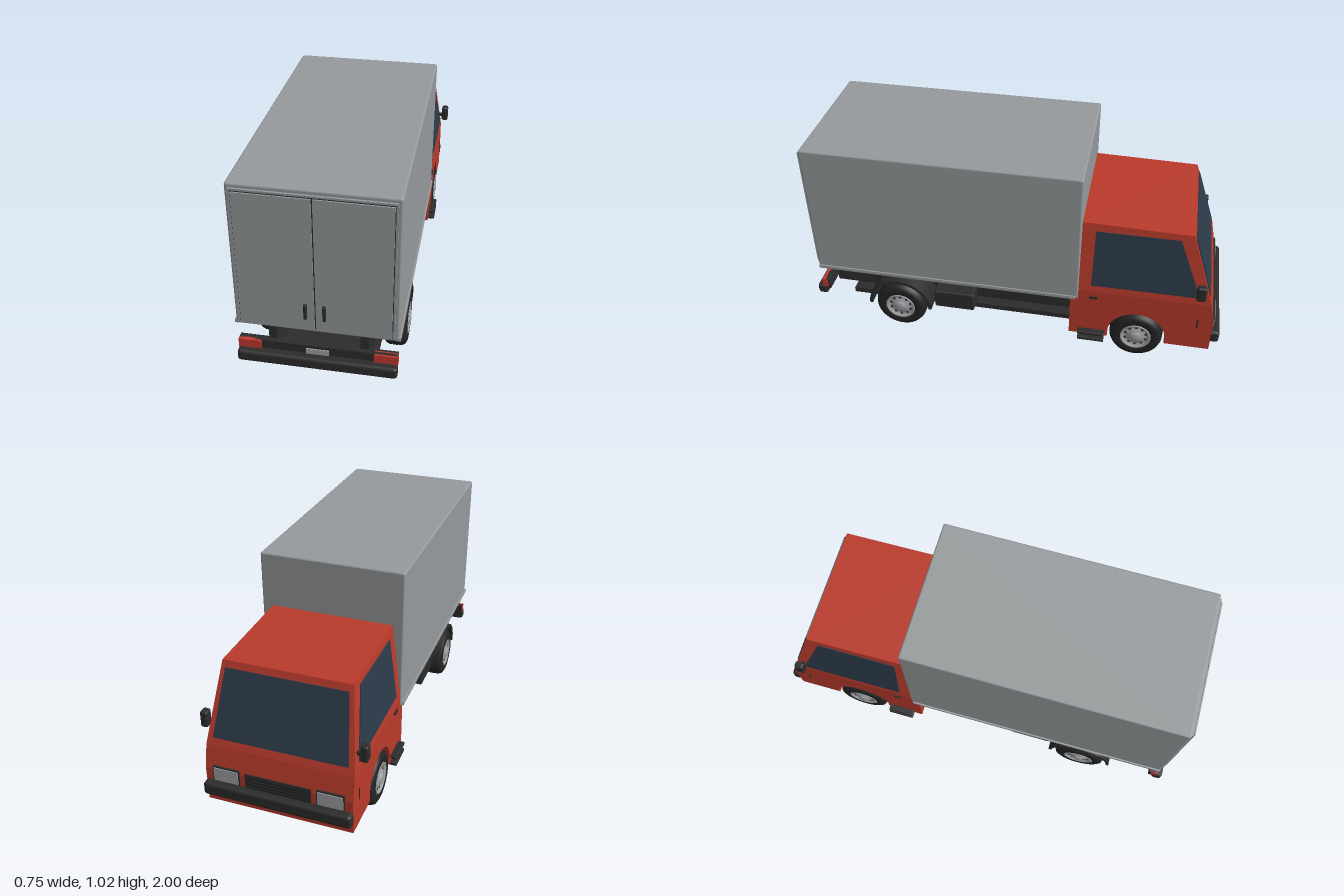
import * as THREE from 'three';
import { RoundedBoxGeometry } from 'three/addons/geometries/RoundedBoxGeometry.js';

const mat = (name, color) => Object.assign(new THREE.MeshStandardMaterial({ color }), { name });

export function createModel() {
  const truck = new THREE.Group();
  truck.name = 'boxTruck';
  const red = mat('cabRed', 0xb93a2b);
  const grey = mat('cargoGrey', 0x969a9c);
  const dark = mat('trimDark', 0x2c2c2c);
  const tyreBlack = mat('tyreBlack', 0x242424);
  const glass = mat('glassBlue', 0x2c3a49);
  const silver = mat('rimSilver', 0xa0a3a6);
  const tailRed = mat('tailLightRed', 0xc63a30);

  const add = (name, geo, m, parent = truck) => {
    const mesh = new THREE.Mesh(geo, m);
    mesh.name = name;
    parent.add(mesh);
    return mesh;
  };
  // box given by its minimum and maximum on each axis, optionally rounded
  const box = (name, m, [x0, x1], [y0, y1], [z0, z1], r = 0) => {
    const s = [x1 - x0, y1 - y0, z1 - z0];
    const g = r ? new RoundedBoxGeometry(...s, 2, r) : new THREE.BoxGeometry(...s);
    g.translate((x0 + x1) / 2, (y0 + y1) / 2, (z0 + z1) / 2);
    return add(name, g, m);
  };
  // the same box on both sides
  const pair = (name, m, [x0, x1], y, z, r) => {
    box(name + 'Left', m, [x0, x1], y, z, r);
    box(name + 'Right', m, [-x1, -x0], y, z, r);
  };
  // solid between two four-cornered loops, counter-clockwise seen from the second
  const prism = (a, b) => {
    const pos = [];
    const quad = (p, q, r, s) => [p, q, r, p, r, s].forEach(v => pos.push(...v));
    for (let i = 0; i < 4; i++) {
      const j = (i + 1) % 4;
      quad(a[i], a[j], b[j], b[i]);
    }
    quad(...b);
    quad(a[3], a[2], a[1], a[0]);
    const g = new THREE.BufferGeometry();
    g.setAttribute('position', new THREE.Float32BufferAttribute(pos, 3));
    g.computeVertexNormals();
    return g;
  };
  // thin plate lying on a sloping face
  const plate = (name, m, pts) => {
    const [p, q, r] = pts.map(v => new THREE.Vector3(...v));
    const n = q.clone().sub(p).cross(r.clone().sub(p)).normalize();
    const shift = d => pts.map(v => new THREE.Vector3(...v).addScaledVector(n, d).toArray());
    return add(name, prism(shift(-0.003), shift(0.004)), m);
  };
  // side profile in (z, y), extruded along x
  const profile = (name, m, shape, x0, x1) => {
    const g = new THREE.ExtrudeGeometry(shape, { depth: x1 - x0, bevelEnabled: false, curveSegments: 24 });
    g.rotateY(-Math.PI / 2).translate(x1, 0, 0);
    return add(name, g, m);
  };

  // cargo body, bottom rails and rear doors
  box('cargoBox', grey, [-0.341, 0.341], [0.33, 1.008], [-0.322, 0.968], 0.009);
  pair('cargoRail', grey, [0.33, 0.348], [0.33, 0.346], [-0.31, 0.965]);
  box('doorFrame', grey, [-0.325, 0.325], [0.347, 0.99], [0.96, 0.977]);
  box('doorSeal', dark, [-0.317, 0.317], [0.354, 0.982], [0.97, 0.979]);
  pair('rearDoor', grey, [0.003, 0.314], [0.357, 0.979], [0.97, 0.985]);
  pair('rearDoorHandle', dark, [0.032, 0.046], [0.413, 0.486], [0.98, 0.998], 0.005);

  // lower cab: full profile in the middle, wheel arches cut at the sides
  const wheelY = 0.13, frontZ = -0.61, rearZ = 0.57;
  const cabShape = arch => {
    const s = new THREE.Shape();
    s.moveTo(-0.285, 0.105);
    s.lineTo(-0.285, 0.327);
    s.lineTo(-0.322, 0.327);
    s.lineTo(-0.322, 0.38);
    s.lineTo(-0.94, 0.38);
    s.lineTo(-0.963, 0.27);
    s.lineTo(-0.96, 0.105);
    if (arch) {
      const r = 0.14, dip = Math.asin((wheelY - 0.105) / r);
      s.absarc(frontZ, wheelY, r, Math.PI + dip, -dip, true);
    }
    s.closePath();
    return s;
  };
  profile('lowerCabCentre', red, cabShape(false), -0.232, 0.232);
  profile('lowerCabLeft', red, cabShape(true), 0.232, 0.335);
  profile('lowerCabRight', red, cabShape(true), -0.335, -0.232);

  // upper cab, tapering to the roof
  const loop = (x, yF, yB, zF, zB) => [[x, yB, zB], [x, yF, zF], [-x, yF, zF], [-x, yB, zB]];
  add('upperCab', prism(loop(0.335, 0.38, 0.38, -0.94, -0.322), loop(0.29, 0.74, 0.75, -0.82, -0.322)), red);
  const t = y => (y - 0.38) / 0.365;
  const sideX = y => 0.335 - 0.045 * t(y);
  const noseZ = y => -0.94 + 0.12 * t(y);
  plate('windshield', glass, [[0.305, 0.415], [-0.305, 0.415], [-0.273, 0.71], [0.273, 0.71]]
    .map(([x, y]) => [x, y, noseZ(y)]));
  const sideWindow = [[-0.38, 0.418], [-0.882, 0.418], [-0.765, 0.71], [-0.385, 0.71]];
  plate('sideWindowLeft', glass, sideWindow.map(([z, y]) => [sideX(y), y, z]));
  plate('sideWindowRight', glass, sideWindow.map(([z, y]) => [-sideX(y), y, z]).reverse());

  // cab fittings
  pair('mirrorArm', dark, [0.31, 0.35], [0.455, 0.47], [-0.89, -0.875]);
  pair('mirror', dark, [0.342, 0.376], [0.434, 0.512], [-0.905, -0.862], 0.009);
  pair('doorHandle', dark, [0.33, 0.341], [0.34, 0.352], [-0.414, -0.376]);
  pair('sideMarker', dark, [0.33, 0.337], [0.232, 0.288], [-0.892, -0.885]);
  pair('upperStep', dark, [0.25, 0.366], [0.124, 0.14], [-0.458, -0.33], 0.004);
  pair('lowerStep', dark, [0.25, 0.366], [0.088, 0.104], [-0.458, -0.33], 0.004);
  pair('stepBracket', dark, [0.26, 0.3], [0.1, 0.126], [-0.42, -0.37]);

  // nose: bumper, grille and headlights
  box('frontBumper', dark, [-0.337, 0.337], [0.153, 0.216], [-1, -0.952], 0.015);
  box('grille', dark, [-0.15, 0.15], [0.215, 0.285], [-0.966, -0.94]);
  for (let i = 0; i < 4; i++) {
    const y = 0.222 + i * 0.016;
    box('grilleSlat', tyreBlack, [-0.14, 0.14], [y, y + 0.007], [-0.97, -0.96]);
  }
  pair('headlightFrame', dark, [0.175, 0.3], [0.216, 0.292], [-0.967, -0.94]);
  pair('headlight', silver, [0.181, 0.294], [0.222, 0.286], [-0.971, -0.95]);

  // chassis
  pair('chassisRail', dark, [0.178, 0.212], [0.145, 0.312], [-0.285, 0.94]);
  box('underTray', dark, [-0.233, 0.233], [0.088, 0.115], [-0.84, 0.85]);
  pair('sideTank', dark, [0.2, 0.3], [0.122, 0.222], [0.2, 0.4], 0.008);
  box('rearBeam', dark, [-0.338, 0.338], [0.19, 0.245], [0.93, 0.96]);
  box('rearBumper', dark, [-0.34, 0.34], [0.151, 0.205], [0.95, 1], 0.014);
  pair('tailLight', tailRed, [0.24, 0.339], [0.2, 0.245], [0.94, 0.968]);
  box('rearPlate', silver, [-0.049, 0.049], [0.205, 0.231], [0.955, 0.965]);

  // rear mudguards
  const guard = new THREE.Shape();
  guard.absarc(rearZ, wheelY, 0.16, 0, Math.PI, false);
  guard.absarc(rearZ, wheelY, 0.145, Math.PI, 0, true);
  guard.closePath();
  profile('mudguardLeft', dark, guard, 0.21, 0.338);
  profile('mudguardRight', dark, guard, -0.338, -0.21);

  // wheels, built along y and laid on their side
  const turn = pts => new THREE.LatheGeometry(pts.map(p => new THREE.Vector2(...p)), 40).rotateZ(-Math.PI / 2);
  const tyreGeo = turn([[0.07, -0.05], [0.105, -0.05], [0.12, -0.042], [0.127, -0.026], [0.128, -0.017],
    [0.124, -0.015], [0.124, -0.012], [0.128, -0.01], [0.128, 0.01], [0.124, 0.012], [0.124, 0.015],
    [0.128, 0.017], [0.127, 0.026], [0.12, 0.042], [0.105, 0.05], [0.075, 0.05], [0.07, 0.04]]);
  const rimGeo = turn([[0.072, 0.03], [0.074, 0.051], [0.066, 0.052], [0.06, 0.04], [0.045, 0.042],
    [0.032, 0.05], [0.024, 0.05], [0.022, 0.058], [0, 0.058]]);
  const disc = (r, d, x) => new THREE.CylinderGeometry(r, r, d, 20).rotateZ(Math.PI / 2).translate(x, 0, 0);
  for (const side of [1, -1]) {
    for (const [z, label] of [[frontZ, 'front'], [rearZ, 'rear']]) {
      const wheel = new THREE.Group();
      wheel.name = label + (side > 0 ? 'LeftWheel' : 'RightWheel');
      wheel.position.set(side * 0.29, 0.128, z);
      wheel.rotation.y = side > 0 ? 0 : Math.PI;
      add('tyre', tyreGeo, tyreBlack, wheel);
      add('rim', rimGeo, silver, wheel);
      add('innerDisc', disc(0.072, 0.01, -0.042), dark, wheel);
      for (let i = 0; i < 10; i++) {
        const a = (i / 10) * Math.PI * 2;
        add('rimHole', disc(0.006, 0.006, 0.041).translate(0, 0.052 * Math.cos(a), 0.052 * Math.sin(a)), dark, wheel);
      }
      truck.add(wheel);
    }
    // dark lining inside the front arch
    const well = add('archLining', disc(0.139, 0.006, 0), dark);
    well.position.set(side * 0.234, wheelY, frontZ);
  }
  return truck;
}
